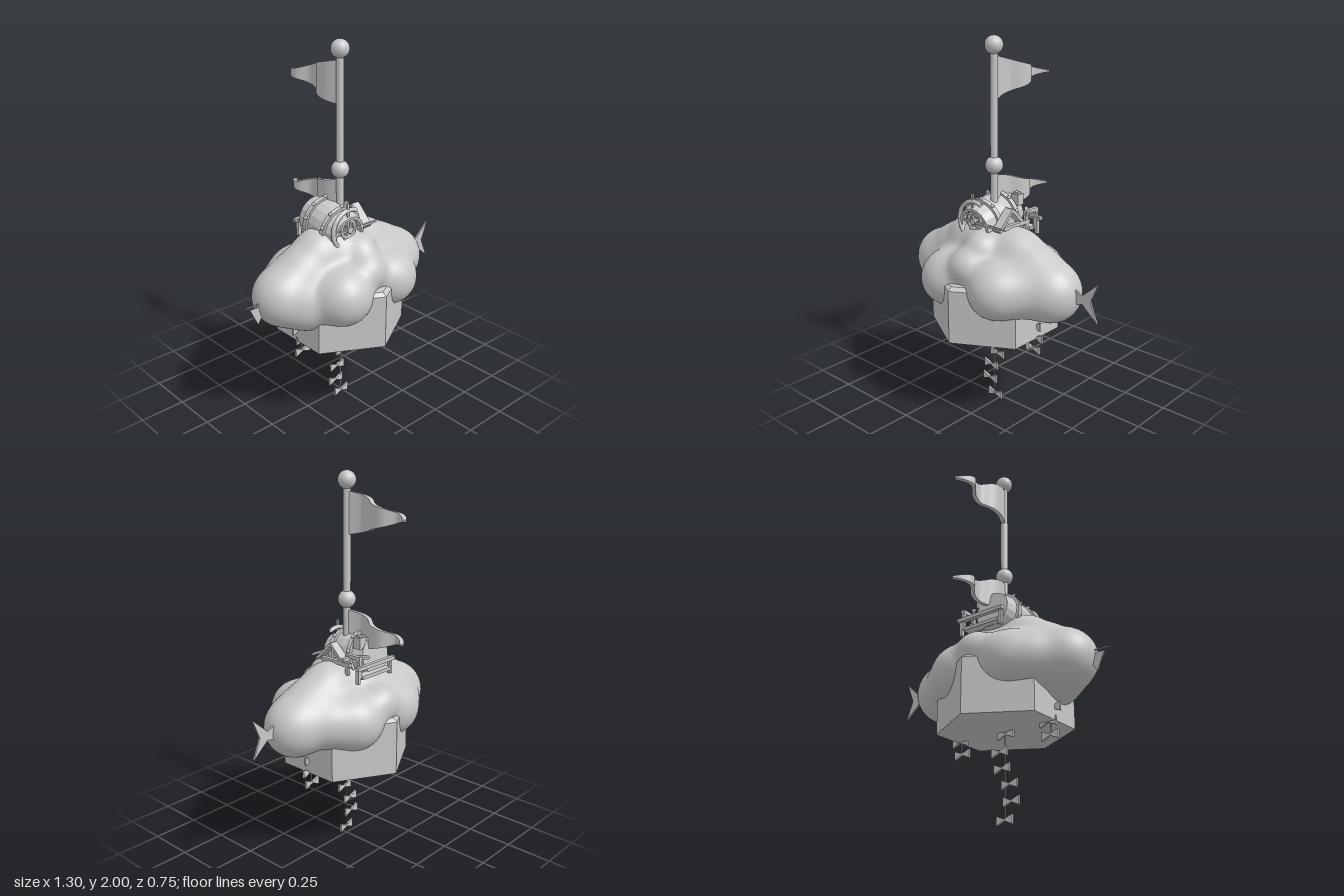
import * as THREE from 'three';
import { mergeVertices } from 'three/addons/utils/BufferGeometryUtils.js';

const stone = new THREE.MeshStandardMaterial({ color: 0xc8c8c8, side: THREE.DoubleSide });
stone.name = 'light grey';

const CX = -0.03, CZ = 0.025; // axis of the pole and base

function add(parent, name, geo, x = 0, y = 0, z = 0) {
  const m = new THREE.Mesh(geo, stone);
  m.name = name;
  m.position.set(x, y, z);
  parent.add(m);
  return m;
}
const box = (parent, name, w, h, d, x, y, z) => add(parent, name, new THREE.BoxGeometry(w, h, d), x, y, z);

function group(parent, name, x = 0, y = 0, z = 0) {
  const g = new THREE.Group();
  g.name = name;
  g.position.set(x, y, z);
  parent.add(g);
  return g;
}

// Flat plate in the XY plane, centred on z = 0
function plate(points, depth) {
  const shape = new THREE.Shape(points.map(([x, y]) => new THREE.Vector2(x, y)));
  return new THREE.ExtrudeGeometry(shape, { depth, bevelEnabled: false }).translate(0, 0, -depth / 2);
}

// Cloud: a sphere shrunk onto a smooth blend of puffs
function cloudGeometry() {
  const puffs = [
    // ends
    [-0.42, 0.755, 0.015, 0.152], [0.365, 0.75, 0.025, 0.155],
    // lower lobes around the base
    [-0.18, 0.745, 0.215, 0.15], [0.15, 0.75, 0.21, 0.146],
    [-0.18, 0.75, -0.15, 0.15], [0.11, 0.75, -0.155, 0.148],
    [-0.29, 0.75, -0.09, 0.132], [-0.31, 0.685, 0.08, 0.122], [0.25, 0.75, 0.12, 0.122], [0.23, 0.76, -0.09, 0.118],
    // bridges above the front and back corners of the base
    [CX, 0.85, 0.24, 0.08], [CX, 0.83, -0.21, 0.085],
    // crown and shoulders
    [-0.04, 0.9, 0.02, 0.15], [-0.18, 0.925, 0.02, 0.125], [0.13, 0.905, 0.02, 0.125],
    [-0.3, 0.855, 0.02, 0.115], [0.25, 0.845, 0.02, 0.118], [0, 0.94, 0.16, 0.06],
  ];
  const k = 0.031, centre = new THREE.Vector3(CX, 0.79, 0.02);
  const field = (p) => {
    let s = 0;
    for (const [x, y, z, r] of puffs) s += Math.exp((r - Math.hypot(p.x - x, p.y - y, p.z - z)) / k);
    return -k * Math.log(s);
  };
  let geo = new THREE.IcosahedronGeometry(1, 26);
  geo.deleteAttribute('normal');
  geo.deleteAttribute('uv');
  geo = mergeVertices(geo, 1e-5);
  const pos = geo.attributes.position, dir = new THREE.Vector3(), p = new THREE.Vector3();
  for (let i = 0; i < pos.count; i++) {
    dir.fromBufferAttribute(pos, i).normalize();
    let t = 0.8;
    for (let n = 0; n < 60; n++) {
      const d = field(p.copy(centre).addScaledVector(dir, t));
      if (d < 0.0005) break;
      t -= d;
    }
    pos.setXYZ(i, p.x, p.y, p.z);
  }
  geo.computeVertexNormals();
  return geo;
}

// Waving pennant trailing towards the back
function pennantGeometry() {
  const curve = new THREE.CatmullRomCurve3([
    [-0.03, 0.02], [-0.058, -0.06], [-0.05, -0.11], [-0.01, -0.17], [-0.012, -0.22],
    [-0.055, -0.29], [-0.035, -0.335], [0.004, -0.37],
  ].map(([x, z]) => new THREE.Vector3(x, 0, z)));
  const geo = new THREE.BoxGeometry(0.022, 1, 1, 1, 1, 40), pos = geo.attributes.position;
  for (let i = 0; i < pos.count; i++) {
    const u = 0.5 - pos.getZ(i), side = pos.getX(i);
    const c = curve.getPointAt(u), t = curve.getTangentAt(u);
    const half = 0.106 * (1 - u) + 0.004 + 0.004 * Math.sin(u * Math.PI * 2);
    pos.setXYZ(i, c.x - t.z * side, Math.sign(pos.getY(i)) * half, c.z + t.x * side);
  }
  geo.computeVertexNormals();
  return geo;
}

// String of bows hanging below the base
function bowString(parent, name, bows, top) {
  const g = group(parent, name);
  const w = 0.048, h = 0.024;
  const bow = plate([[-w, -h], [0, -0.004], [w, -h], [w, h], [0, 0.004], [-w, h]], 0.012);
  for (const [x, y] of bows) add(g, 'bow', bow, x, y, CZ);
  const low = bows[bows.length - 1][1];
  box(g, 'string', 0.005, top[1] - low, 0.005, top[0], (top[1] + low) / 2, CZ);
}

// Barrel-shaped engine lying on the cloud, pitched slightly forward
function engine(parent) {
  const g = group(parent, 'engine', -0.07, 1.06, 0);
  const barrel = group(g, 'barrel', 0, -0.01, 0);
  barrel.rotation.x = 0.14;
  const profile = [[0, -0.14], [0.1, -0.14], [0.116, -0.07], [0.122, 0], [0.116, 0.07], [0.1, 0.14],
    [0.085, 0.14], [0.08, 0.115], [0, 0.115]].map(([x, y]) => new THREE.Vector2(x, y));
  const staves = new THREE.LatheGeometry(profile, 18).rotateX(Math.PI / 2).toNonIndexed();
  staves.computeVertexNormals();
  add(barrel, 'staves', staves);
  for (const z of [-0.065, 0.065]) {
    const hoop = new THREE.CylinderGeometry(0.129, 0.129, 0.024, 32).rotateX(Math.PI / 2);
    add(barrel, 'hoop', hoop, 0, 0, z);
    for (let i = 0; i < 10; i++) {
      const a = (i + 0.5) * Math.PI / 5;
      add(barrel, 'stud', new THREE.SphereGeometry(0.01, 10, 8), 0.13 * Math.cos(a), 0.13 * Math.sin(a), z);
    }
  }
  // Front gauge: open ring, small wheel and spokes
  add(g, 'frontRing', new THREE.TorusGeometry(0.105, 0.012, 8, 32, 3.6), 0, 0, 0.135).rotation.z = 1.1;
  add(g, 'frontWheel', new THREE.TorusGeometry(0.045, 0.009, 8, 24), 0, 0, 0.13);
  add(g, 'hub', new THREE.CylinderGeometry(0.018, 0.018, 0.03, 12).rotateX(Math.PI / 2), 0, 0, 0.135);
  for (let i = 0; i < 3; i++) {
    box(g, 'spoke', 0.12, 0.01, 0.01, 0, 0, 0.132).rotation.z = i * Math.PI / 3;
  }
  // Lever and top hatch
  box(g, 'lever', 0.012, 0.15, 0.01, -0.01, 0.07, 0.138);
  box(g, 'leverBar', 0.3, 0.01, 0.01, 0.04, -0.005, 0.138);
  box(g, 'hatch', 0.05, 0.06, 0.045, 0.085, 0.085, -0.105);
  box(g, 'hatchCap', 0.026, 0.012, 0.026, 0.085, 0.119, -0.105);
}

// Timber frame resting on the cloud beside and behind the engine
function frame(parent) {
  const g = group(parent, 'timberFrame');
  box(g, 'rearBeam', 0.29, 0.02, 0.022, -0.025, 1.04, -0.18);
  box(g, 'rearPlank', 0.22, 0.018, 0.05, -0.03, 0.985, -0.16);
  for (const x of [-0.15, 0.1]) box(g, 'rearPost', 0.018, 0.09, 0.02, x, 1.0, -0.17);
  box(g, 'sideBeam', 0.022, 0.02, 0.2, 0.09, 1.04, -0.01);
  box(g, 'sideUpperBeam', 0.022, 0.02, 0.1, 0.09, 1.09, -0.13);
  for (const z of [-0.17, -0.09]) box(g, 'sidePost', 0.018, 0.11, 0.018, 0.09, 1.04, z);
  box(g, 'peg', 0.05, 0.018, 0.018, 0.12, 1.08, -0.105);
  box(g, 'brace', 0.02, 0.015, 0.12, 0.06, 1.08, -0.13).rotation.y = 0.75;
  // Gable on the side of the frame
  for (const s of [-1, 1]) {
    box(g, 'gableRafter', 0.05, 0.016, 0.14, 0.075, 1.08, 0.025 + s * 0.048).rotation.x = s * 0.78;
  }
}

export function createModel() {
  const model = new THREE.Group();
  model.name = 'cloudBalloon';

  // Hexagonal base with a small bevel on top
  const base = new THREE.CylinderGeometry(0.35, 0.35, 0.29, 6).toNonIndexed();
  base.computeVertexNormals();
  add(model, 'base', base, CX, 0.607, CZ);
  const bevel = new THREE.CylinderGeometry(0.325, 0.35, 0.018, 6).toNonIndexed();
  bevel.computeVertexNormals();
  add(model, 'baseBevel', bevel, CX, 0.761, CZ);

  add(model, 'cloud', cloudGeometry());

  // Pole with balls and pennants
  add(model, 'pole', new THREE.CylinderGeometry(0.02, 0.02, 0.95, 20), CX, 1.475, CZ);
  const pennant = pennantGeometry();
  for (const y of [1.346, 1.953]) add(model, 'poleBall', new THREE.SphereGeometry(0.047, 28, 18), CX, y, CZ);
  for (const y of [1.182, 1.79]) add(model, 'pennant', pennant, 0, y, 0);

  engine(model);
  frame(model);

  // Tail fin at one end, small fin and spike at the other
  add(model, 'tailFin', plate([[0.49, 0.72], [0.555, 0.74], [0.648, 0.66], [0.605, 0.765],
    [0.648, 0.87], [0.555, 0.785], [0.49, 0.81]], 0.01), 0, 0, 0.022);
  add(model, 'noseFin', plate([[-0.625, 0.75], [-0.58, 0.655], [-0.55, 0.7], [-0.55, 0.75]], 0.008), 0, 0, 0.022);
  box(model, 'noseSpike', 0.11, 0.006, 0.006, -0.595, 0.765, 0.022);

  // Hanging bows
  bowString(model, 'middleTail', [[-0.035, 0.45], [0.005, 0.365], [-0.01, 0.28], [-0.055, 0.195],
    [-0.065, 0.11], [-0.025, 0.024]], [CX, 0.48]);
  bowString(model, 'rightTail', [[-0.315, 0.53], [-0.29, 0.463], [-0.3, 0.395]], [-0.305, 0.6]);
  bowString(model, 'leftTail', [[0.245, 0.53], [0.26, 0.463], [0.245, 0.395]], [0.25, 0.6]);

  return model;
}
